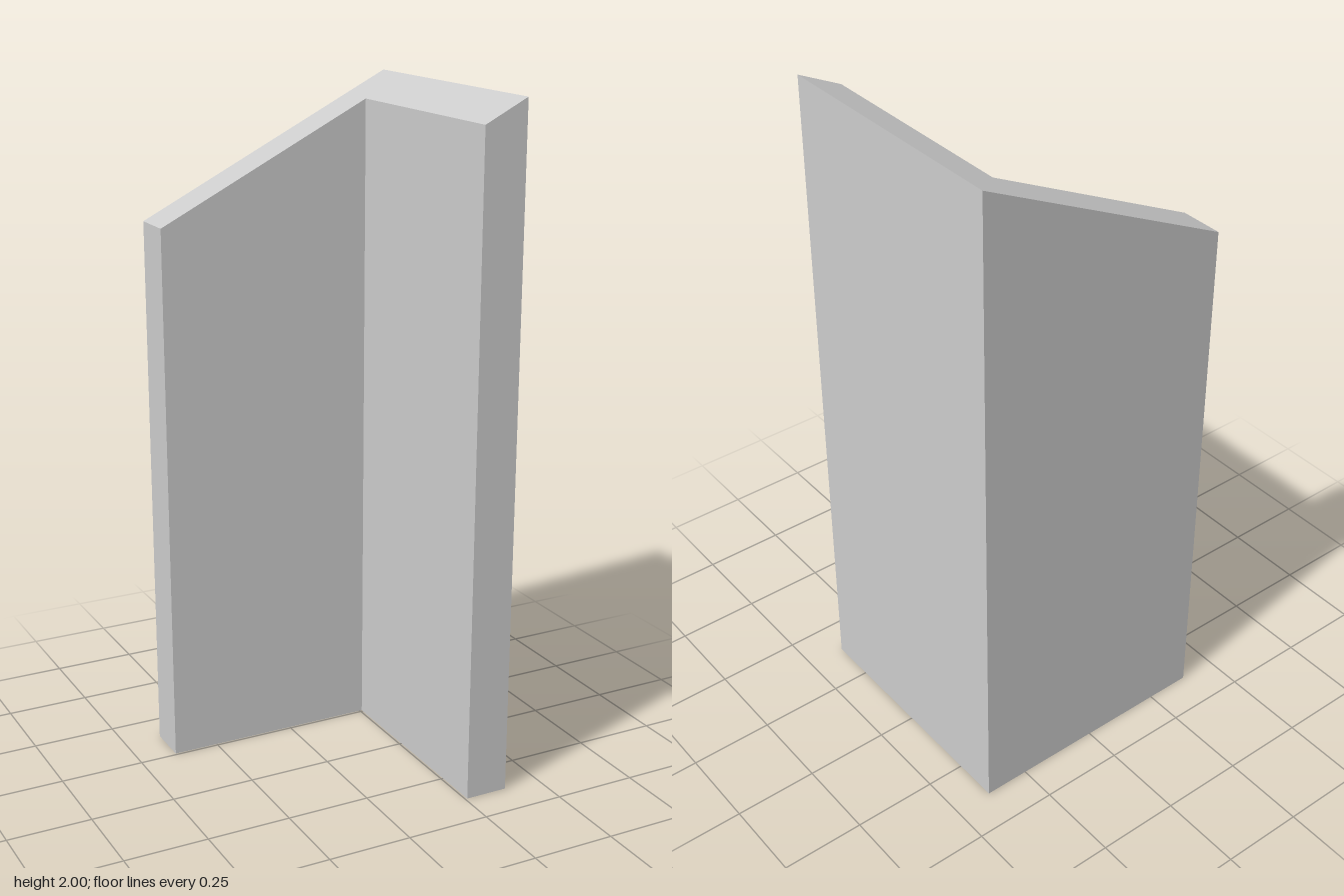
import * as THREE from 'three';

const HALF = 0.386;      // half the footprint
const THICK = 0.129;     // thickness of both flanges
const HEIGHT = 2;        // height at the corner
const SLOPE = 0.5;       // fall of the mitred top per unit of x

export function createModel() {
  const group = new THREE.Group();
  group.name = 'mitredAngle';

  // L-shaped section: back flange along x, side flange along z at +x
  const inner = HALF - THICK;
  const section = new THREE.Shape([
    [-HALF, HALF], [-HALF, inner], [inner, inner],
    [inner, -HALF], [HALF, -HALF], [HALF, HALF],
  ].map(([x, y]) => new THREE.Vector2(x, y)));

  const geometry = new THREE.ExtrudeGeometry(section, { depth: HEIGHT, bevelEnabled: false });
  geometry.rotateX(-Math.PI / 2);

  // Slanted cut across the top end
  const pos = geometry.attributes.position;
  for (let i = 0; i < pos.count; i++) {
    const top = pos.getY(i) > HEIGHT / 2;
    pos.setY(i, top ? HEIGHT - SLOPE * (HALF - pos.getX(i)) : 0);
  }
  geometry.computeVertexNormals();

  const material = new THREE.MeshStandardMaterial({ color: 0xcccccc, flatShading: true });
  const angle = new THREE.Mesh(geometry, material);
  angle.name = 'angleProfile';
  group.add(angle);
  return group;
}
